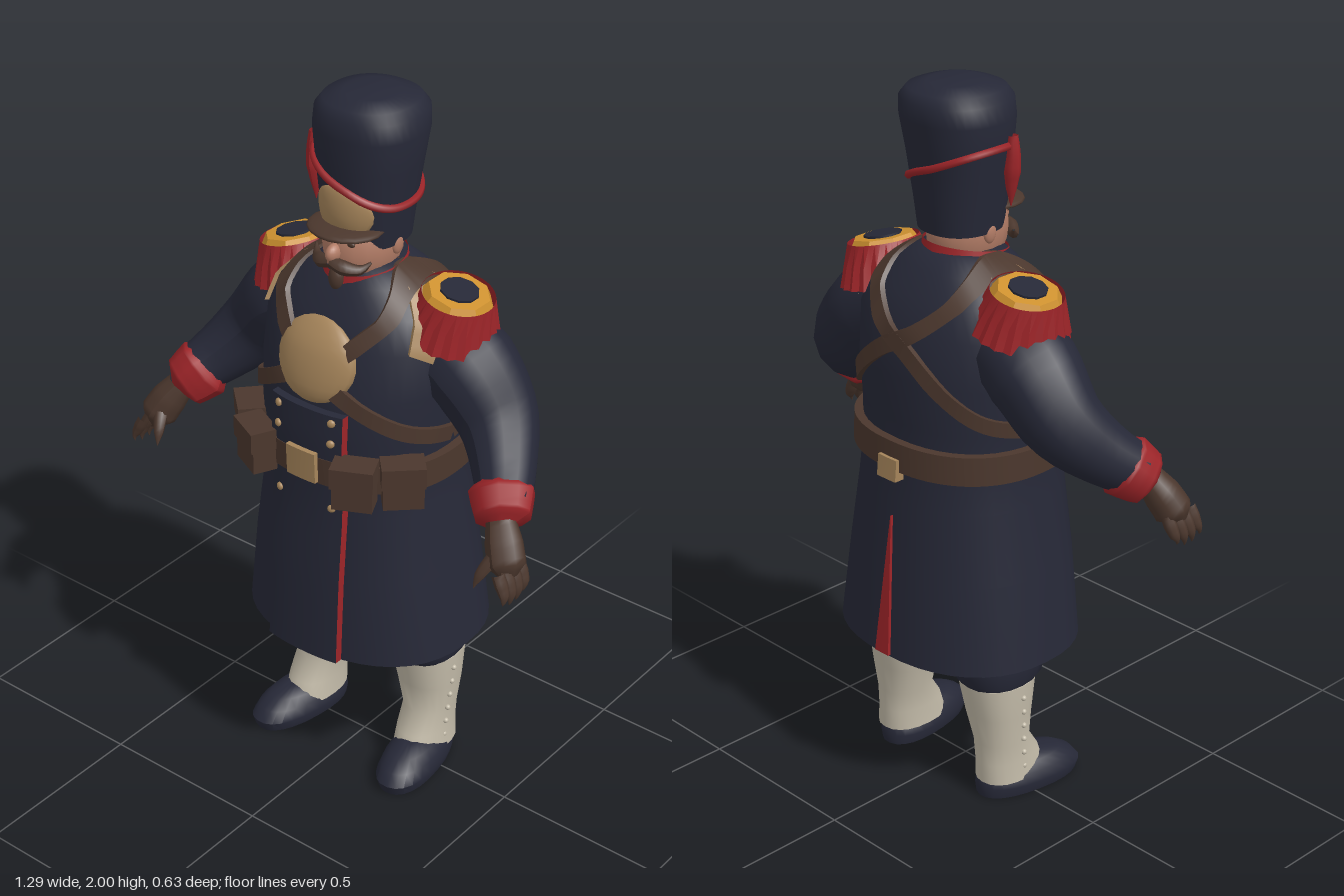
import * as THREE from 'three';
import { toCreasedNormals } from 'three/addons/utils/BufferGeometryUtils.js';

const mat = (name, color) => Object.assign(new THREE.MeshStandardMaterial({ color }), { name });
const navy = mat('navy cloth', 0x262837), red = mat('red trim', 0x9c2428), brown = mat('brown leather', 0x4b372d);
const tan = mat('tan brass', 0xa5845a), white = mat('white gaiter', 0xc2baa8), skin = mat('skin', 0xb27c66);
const gold = mat('gold braid', 0xcf9230);

const N = 2.3; // roundness of the squarish cross-sections
const rad = THREE.MathUtils.degToRad;
const spow = (v, p) => Math.sign(v) * Math.abs(v) ** p;

// Cross-section rows: [y, half width, front z, back z, centre x]
const coatRows = [
  [0.45, 0.34, 0.262, -0.31], [0.7, 0.31, 0.25, -0.285], [0.9, 0.28, 0.235, -0.265], [1.02, 0.27, 0.232, -0.252],
  [1.12, 0.275, 0.237, -0.25], [1.25, 0.28, 0.228, -0.255], [1.38, 0.28, 0.195, -0.24], [1.46, 0.25, 0.155, -0.2],
  [1.52, 0.17, 0.115, -0.155], [1.56, 0.1, 0.08, -0.115]];
const hatRows = [
  [1.61, 0.105, 0.09, -0.128], [1.7, 0.117, 0.103, -0.138], [1.82, 0.135, 0.108, -0.153], [1.91, 0.146, 0.112, -0.17],
  [1.96, 0.141, 0.108, -0.173], [1.985, 0.122, 0.09, -0.155], [2.0, 0.07, 0.04, -0.105]];

function rowAt(rows, y) {
  const i = Math.max(1, rows.findIndex(r => r[0] >= y));
  const k = y >= rows.at(-1)[0] ? rows.length - 1 : i;
  const a = rows[k - 1], b = rows[k], t = THREE.MathUtils.clamp((y - a[0]) / (b[0] - a[0]), 0, 1);
  return a.map((v, j) => v + (b[j] - v) * t);
}

// Point on a cross-section; angle runs from the front towards +x
function onRow([y, w, f, b, cx = 0], th, off = 0) {
  const s = Math.sin(th), c = Math.cos(th);
  return [cx + w * spow(s, 2 / N) + s * off, y, (f + b) / 2 + (f - b) / 2 * spow(c, 2 / N) + c * off];
}

function build(pos, idx, crease = 0.6) {
  const g = new THREE.BufferGeometry();
  g.setAttribute('position', new THREE.Float32BufferAttribute(pos, 3));
  g.setIndex(idx);
  return toCreasedNormals(g, crease);
}

// Closed skin over stacked cross-sections
function loft(rows, seg = 40) {
  const pos = [], idx = [], top = rows.length - 1;
  rows.forEach(r => { for (let j = 0; j < seg; j++) pos.push(...onRow(r, j / seg * Math.PI * 2)); });
  [rows[0], rows[top]].forEach(r => pos.push(r[4] ?? 0, r[0], (r[2] + r[3]) / 2));
  const c = rows.length * seg;
  for (let j = 0; j < seg; j++) {
    const k = (j + 1) % seg;
    for (let i = 0; i < top; i++) {
      const a = i * seg + j, b = i * seg + k;
      idx.push(a, b, a + seg, b, b + seg, a + seg);
    }
    idx.push(c, k, j, c + 1, top * seg + j, top * seg + k);
  }
  return build(pos, idx, 0.8);
}

// Flat strap following [angle in degrees, y] points over a lofted surface
function strap(rows, pts, width, off = 0.014, n = 80) {
  const K = 0.27, pos = [], idx = [];
  const curve = new THREE.CatmullRomCurve3(pts.map(([a, y]) => new THREE.Vector3(rad(a) * K, y, 0)));
  for (let i = 0; i <= n; i++) {
    const p = curve.getPointAt(i / n), t = curve.getTangentAt(i / n);
    for (const [side, o] of [[-1, -0.01], [-1, off], [1, off], [1, -0.01]]) {
      const h = side * width / 2;
      pos.push(...onRow(rowAt(rows, p.y + t.x * h), (p.x - t.y * h) / K, o));
    }
    for (let k = 0; k < 4 && i < n; k++) {
      const a = i * 4 + k, c = i * 4 + (k + 1) % 4;
      idx.push(a, a + 4, c, a + 4, c + 4, c);
    }
  }
  return build(pos, idx);
}

// Presses a geometry onto the front (1) or back (-1) of a lofted surface
function press(geo, rows, dir = 1) {
  const p = geo.attributes.position;
  for (let i = 0; i < p.count; i++) {
    const [, w, f, b] = rowAt(rows, p.getY(i)), x = p.getX(i);
    const d = (f - b) / 2 * Math.max(0, 1 - Math.min(1, Math.abs(x / w)) ** N) ** (1 / N);
    p.setXYZ(i, x * dir, p.getY(i), (f + b) / 2 + dir * (d + p.getZ(i)));
  }
  geo.computeVertexNormals();
  return geo;
}

// Tube with changing radius; points are [x, y, z, radius]
function limb(pts, seg = 16, sides = 14) {
  const curve = new THREE.CatmullRomCurve3(pts.map(p => new THREE.Vector3(p[0], p[1], p[2])));
  const g = new THREE.TubeGeometry(curve, seg, 1, sides), p = g.attributes.position, v = new THREE.Vector3();
  for (let i = 0; i < p.count; i++) {
    const u = Math.floor(i / (sides + 1)) / seg, c = curve.getPointAt(u);
    const f = u * (pts.length - 1), k = Math.min(pts.length - 2, Math.floor(f));
    const r = THREE.MathUtils.lerp(pts[k][3], pts[k + 1][3], f - k);
    v.fromBufferAttribute(p, i).sub(c).multiplyScalar(r).add(c);
    p.setXYZ(i, v.x, v.y, v.z);
  }
  g.computeVertexNormals();
  return g;
}

const ball = (x, y, z, sx, sy, sz) => new THREE.SphereGeometry(1, 18, 12).scale(sx, sy, sz).translate(x, y, z);

export function createModel() {
  const model = new THREE.Group();
  model.name = 'soldier';
  const add = (name, geo, material, parent = model) => {
    const m = new THREE.Mesh(geo, material);
    m.name = name;
    parent.add(m);
    return m;
  };

  // Greatcoat with hollow hem, raised front panel and back vent
  add('coat', loft([[0.58, 0.27, 0.2, -0.24], [0.455, 0.315, 0.235, -0.285], ...coatRows]), navy);
  const panel = press(new THREE.BoxGeometry(0.235, 0.76, 0.045, 8, 14, 1).translate(0, 0.83, 0), coatRows);
  add('frontPanel', panel, [red, red, navy, red, navy, navy]);
  const vent = new THREE.BoxGeometry(0.05, 0.4, 0.016, 2, 6, 1).translate(0, 0.655, 0);
  const vp = vent.attributes.position;
  for (let i = 0; i < vp.count; i++) vp.setX(i, vp.getX(i) * (0.87 - vp.getY(i)) / 0.4);
  add('backVent', press(vent, coatRows, -1), red);

  // Chest plate, belts and buckles
  add('chestPlate', press(ball(0, 1.33, 0, 0.125, 0.11, 0.035), coatRows), tan);
  const loop = [[90, 1.12], [130, 1.17], [180, 1.35], [225, 1.5], [270, 1.54], [300, 1.515], [330, 1.43], [360, 1.31], [410, 1.18], [450, 1.12]];
  add('waistBelt', strap(coatRows, [[0, 1.035], [180, 1.035], [360, 1.035]], 0.08, 0.024), brown);
  add('beltBuckle', press(new THREE.BoxGeometry(0.095, 0.09, 0.03, 4, 1, 1).translate(0, 1.045, 0.022), coatRows), tan);
  add('backBuckle', press(new THREE.BoxGeometry(0.07, 0.06, 0.03, 2, 1, 1).translate(0, 1.0, 0.02), coatRows, -1), tan);

  // Head and collar
  add('head', ball(0, 1.6, 0.005, 0.098, 0.125, 0.118), skin);
  add('nose', ball(0, 1.605, 0.125, 0.018, 0.025, 0.028), skin);
  add('goatee', ball(0, 1.53, 0.115, 0.022, 0.035, 0.02), brown);
  const collar = new THREE.CylinderGeometry(0.112, 0.138, 0.11, 32, 3, true).translate(0, 1.505, 0);
  const cp = collar.attributes.position;
  for (let i = 0; i < cp.count; i++) cp.setY(i, cp.getY(i) - cp.getZ(i) * 0.17);
  collar.computeVertexNormals();
  const collarRed = red.clone();
  red.side = THREE.DoubleSide;
  collarRed.dispose();
  add('collar', collar, red);

  // Tall cap with plate, visor, braid and tassel
  add('cap', loft(hatRows), navy);
  add('capPlate', press(ball(0, 1.71, 0, 0.088, 0.072, 0.02), hatRows), tan);
  add('visor', ball(0, 1.662, 0.075, 0.105, 0.016, 0.095).rotateX(0), brown);
  const braid = [];
  for (let i = 0; i < 32; i++) {
    const th = i / 32 * Math.PI * 2;
    braid.push(new THREE.Vector3(...onRow(rowAt(hatRows, 1.785 - 0.06 * Math.sin(th)), th, 0.003)));
  }
  add('capBraid', new THREE.TubeGeometry(new THREE.CatmullRomCurve3(braid, true), 64, 0.011, 6, true), red);
  add('capTassel', limb([[-0.138, 1.87, 0.03, 0.014], [-0.142, 1.82, 0.03, 0.018], [-0.136, 1.75, 0.03, 0.022], [-0.134, 1.69, 0.03, 0.014], [-0.134, 1.68, 0.03, 0.001]], 12, 8), red);

  for (const s of [1, -1]) {
    const side = s > 0 ? 'left' : 'right';
    const m = pts => pts.map(([x, ...r]) => [x * s, ...r]);
    const part = (name, geo, material, parent) => add(side + name, geo, material, parent);

    // Face details
    part('Ear', ball(s * 0.098, 1.61, -0.01, 0.012, 0.03, 0.02), skin);
    part('Eye', ball(s * 0.038, 1.632, 0.105, 0.014, 0.008, 0.006), brown);
    part('Moustache', limb(m([[0, 1.585, 0.135, 0.016], [0.035, 1.575, 0.13, 0.02], [0.07, 1.57, 0.105, 0.014], [0.09, 1.59, 0.085, 0.003]]), 10, 8), brown);

    // Cross strap and shoulder facing
    part('CrossStrap', strap(coatRows, loop.map(([a, y]) => [a * s, y]), 0.042), brown);
    part('ShoulderFacing', strap(coatRows, [[62, 1.37], [70, 1.46], [90, 1.515], [110, 1.46], [118, 1.37]].map(([a, y]) => [a * s, y]), 0.085, 0.012, 30), tan);

    // Epaulette: fluted fringe, gold ring, cloth centre
    const ep = new THREE.Group();
    ep.name = side + 'Epaulette';
    ep.position.set(s * 0.268, 1.5, -0.045);
    ep.rotation.z = -s * 0.22;
    model.add(ep);
    const fringe = new THREE.CylinderGeometry(0.095, 0.132, 0.115, 40, 2, true).translate(0, -0.05, 0);
    const fp = fringe.attributes.position;
    for (let i = 0; i < fp.count; i++) {
      const k = i % 41 % 2 && fp.getY(i) < 0 ? 0.94 : 1;
      fp.setXYZ(i, fp.getX(i) * k, fp.getY(i), fp.getZ(i) * k * 1.05);
    }
    part('Fringe', toCreasedNormals(fringe, 0.3), red, ep);
    part('EpauletteRing', toCreasedNormals(new THREE.CylinderGeometry(0.082, 0.1, 0.03, 8).rotateY(Math.PI / 8), 0.3), gold, ep);
    part('EpauletteCentre', new THREE.CylinderGeometry(0.052, 0.052, 0.008, 10).translate(0, 0.017, 0), navy, ep);

    // Arm, cuff and gloved hand
    part('Sleeve', limb(m([[0.19, 1.36, -0.05, 0.12], [0.3, 1.3, -0.055, 0.13], [0.4, 1.19, -0.045, 0.113], [0.48, 1.1, 0.03, 0.09], [0.53, 1.05, 0.1, 0.07]])), navy);
    part('Cuff', limb(m([[0.488, 1.083, 0.055, 0.06], [0.497, 1.073, 0.065, 0.088], [0.53, 1.035, 0.105, 0.082], [0.555, 1.008, 0.135, 0.074], [0.56, 1.0, 0.14, 0.001]]), 16, 10), red);
    part('Palm', limb(m([[0.55, 1.02, 0.13, 0.04], [0.58, 0.97, 0.155, 0.05], [0.605, 0.92, 0.175, 0.052], [0.62, 0.88, 0.185, 0.001]]), 12, 10).translate(-s * 0.005, 0, 0), brown);
    for (let i = 0; i < 4; i++) {
      const z = 0.135 + 0.029 * i, tip = 0.835 + 0.012 * Math.abs(i - 1.5);
      part('Finger', limb(m([[0.605, 0.93, z, 0.017], [0.63, 0.88, z + 0.006, 0.018], [0.634, tip + 0.015, z + 0.012, 0.014], [0.632, tip, z + 0.014, 0.001]]), 9, 8), brown);
    }
    part('Thumb', limb(m([[0.575, 0.96, 0.18, 0.022], [0.555, 0.92, 0.215, 0.019], [0.545, 0.885, 0.235, 0.014], [0.543, 0.872, 0.24, 0.001]]), 9, 8), brown);

    // Belt pouches with flaps
    for (const [x, z, turn] of [[0.165, 0.25, 0.45], [0.257, 0.165, 0.75]]) {
      const pouch = new THREE.Group();
      pouch.name = side + 'Pouch';
      pouch.position.set(s * x, 1.035, z);
      pouch.rotation.y = s * turn;
      model.add(pouch);
      part('PouchBody', new THREE.BoxGeometry(0.108, 0.12, 0.07), brown, pouch);
      part('PouchFlap', new THREE.BoxGeometry(0.116, 0.06, 0.08).translate(0, 0.035, 0.002), brown, pouch);
    }

    // Coat buttons
    for (const y of [0.93, 1.13, 1.19]) part('CoatButton', press(ball(s * 0.088, y, 0.024, 0.011, 0.011, 0.008), coatRows), tan);

    // Trousers, gaiter and shoe
    part('Trouser', loft([[0.345, 0.09, 0.04, -0.155, s * 0.18], [0.375, 0.107, 0.075, -0.175, s * 0.178], [0.43, 0.115, 0.095, -0.182, s * 0.172], [0.62, 0.12, 0.1, -0.18, s * 0.16]], 20), navy);
    part('Gaiter', loft([[0.05, 0.072, 0.085, -0.13, s * 0.2], [0.11, 0.068, 0.065, -0.13, s * 0.198], [0.17, 0.07, 0.025, -0.13, s * 0.196], [0.26, 0.088, 0.03, -0.145, s * 0.188], [0.36, 0.099, 0.048, -0.163, s * 0.181]], 20), white);
    for (let i = 0; i < 6; i++) {
      const y = 0.09 + i * 0.046;
      part('GaiterButton', ball(s * (0.263 + i * 0.003), y, -0.03 - i * 0.004, 0.008, 0.008, 0.008), white);
    }
    const shoe = part('Shoe', loft([[0, 0.072, 0.235, -0.085], [0.03, 0.08, 0.245, -0.088], [0.06, 0.072, 0.22, -0.08], [0.083, 0.055, 0.18, -0.05], [0.098, 0.03, 0.12, -0.02]], 24), navy);
    shoe.position.set(s * 0.199, 0, -0.042);
    shoe.rotation.y = s * 0.16;
  }
  return model;
}
